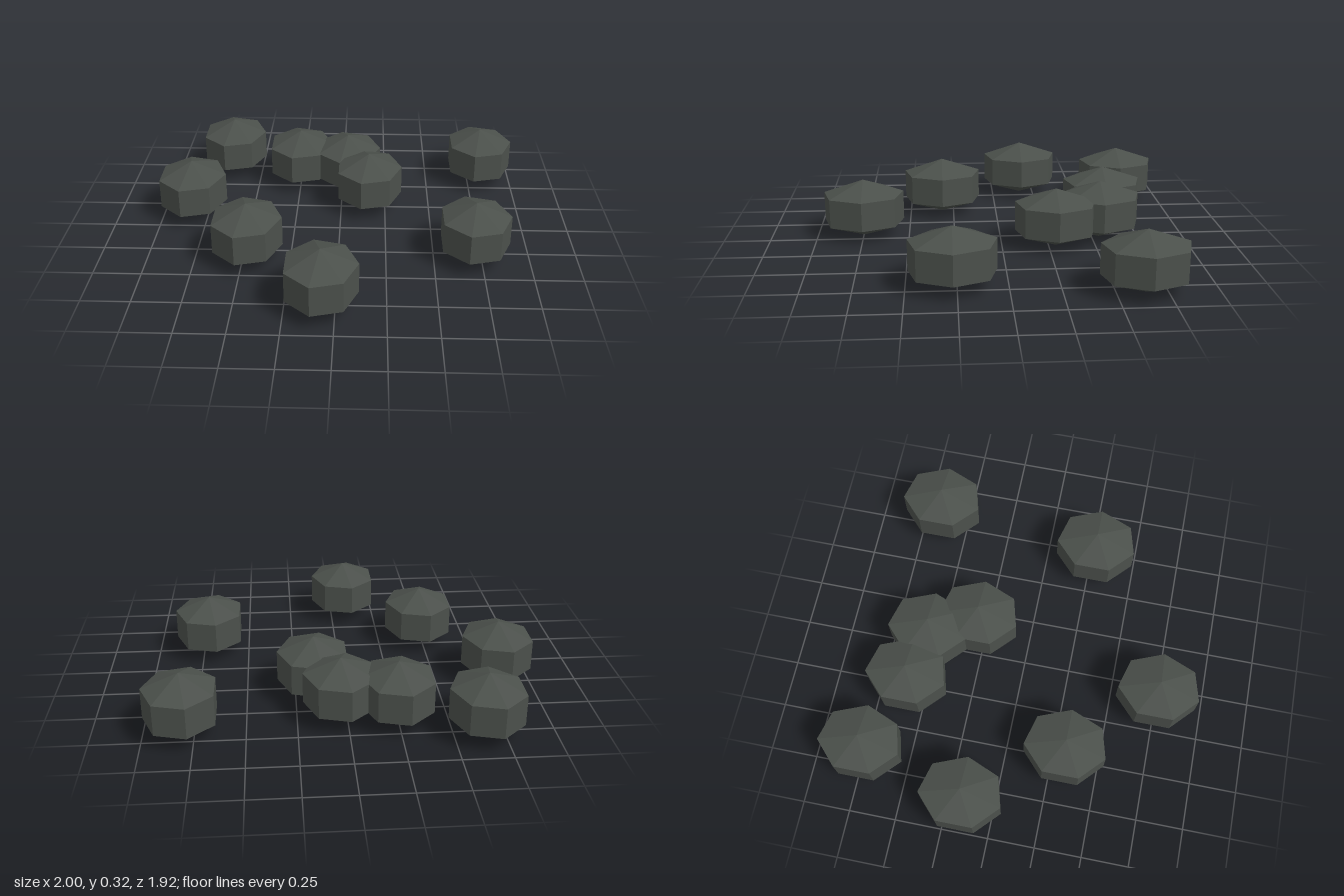
import * as THREE from 'three';

export function createModel() {
  const group = new THREE.Group();
  group.name = 'stones';
  const darkStone = new THREE.MeshStandardMaterial({ color: 0x4b504b, flatShading: true });
  darkStone.name = 'dark stone';

  // One faceted seven-sided pebble, a corner pointing to +x, resting on y = 0
  const pebble = new THREE.SphereGeometry(1, 7, 3)
    .rotateY(Math.PI)
    .scale(0.216, 0.158, 0.256)
    .translate(0, 0.158, 0)
    .toNonIndexed();
  pebble.computeVertexNormals();

  // Scattered positions [x, z]
  const spots = [
    [-0.663, -0.746], [-0.249, -0.596], [0.032, -0.54],
    [0.155, -0.288], [0.812, -0.643], [-0.831, -0.169],
    [-0.476, 0.313], [-0.072, 0.744], [0.711, 0.27],
  ];
  spots.forEach(([x, z], i) => {
    const stone = new THREE.Mesh(pebble, darkStone);
    stone.name = `stone${i + 1}`;
    stone.position.set(x, 0, z);
    group.add(stone);
  });
  return group;
}
